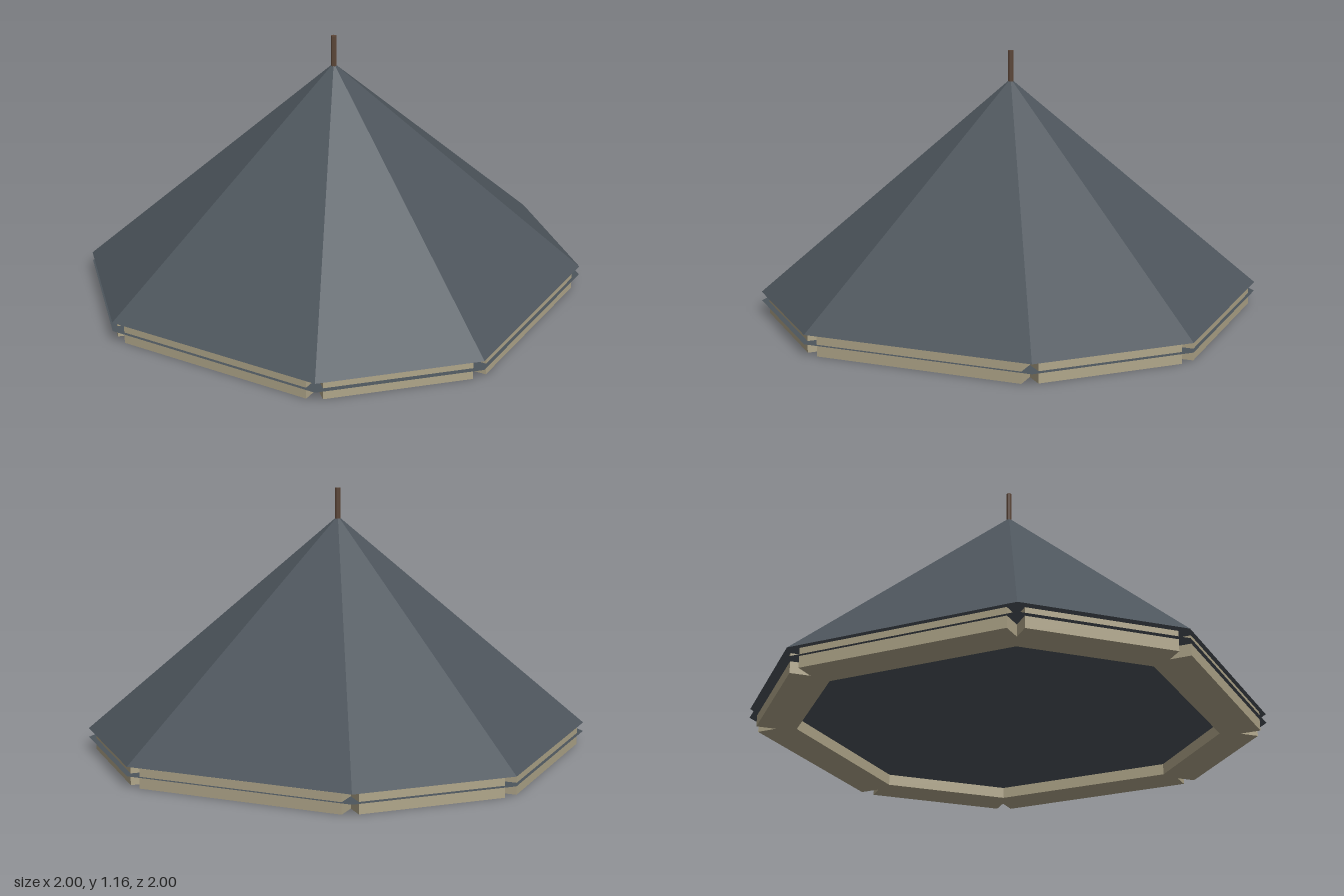
import * as THREE from 'three';

const SLATE = new THREE.MeshStandardMaterial({ color: 0x4d555c, flatShading: true, side: THREE.DoubleSide });
const TIMBER = new THREE.MeshStandardMaterial({ color: 0xb0a68a, flatShading: true });
const WOOD = new THREE.MeshStandardMaterial({ color: 0x5c4638, flatShading: true });

const EAVES_Y = 0.09, APEX_Y = 1.04, BEAM_H = 0.085, BEAM_D = 0.17;

// Eaves outline, counter-clockwise seen from above (x, z)
const EAVES = [[0.5, 1], [1, 0.5], [1, -0.5], [0.5, -1], [-0.5, -1], [-1, -0.5], [-1, 0.5], [-0.5, 1]];

function add(group, name, geometry, material) {
  const mesh = new THREE.Mesh(geometry, material);
  mesh.name = name;
  group.add(mesh);
  return mesh;
}

// Eight flat triangles rising from the eaves to the apex
function roofGeometry() {
  const points = [];
  EAVES.forEach(([x, z], i) => {
    const [nx, nz] = EAVES[(i + 1) % EAVES.length];
    points.push(x, EAVES_Y, z, nx, EAVES_Y, nz, 0, APEX_Y, 0);
  });
  const geometry = new THREE.BufferGeometry();
  geometry.setAttribute('position', new THREE.Float32BufferAttribute(points, 3));
  geometry.computeVertexNormals();
  return geometry;
}

// Thin octagonal sheet facing down
function sheetGeometry(y) {
  const shape = new THREE.Shape(EAVES.map(([x, z]) => new THREE.Vector2(x, z)));
  return new THREE.ShapeGeometry(shape).rotateX(Math.PI / 2).translate(0, y, 0);
}

export function createModel() {
  const model = new THREE.Group();
  model.name = 'pavilionRoof';

  add(model, 'roofSlopes', roofGeometry(), SLATE);
  add(model, 'soffit', sheetGeometry(EAVES_Y), SLATE);
  add(model, 'ceiling', sheetGeometry(0.05), SLATE);

  // Ring of eight beams: longer on the main sides, shorter on the diagonals
  const ring = new THREE.Group();
  ring.name = 'beamRing';
  model.add(ring);
  for (let i = 0; i < 8; i++) {
    const diagonal = i % 2 === 1;
    const length = diagonal ? 0.63 : 0.9;
    const outer = diagonal ? 1.036 : 0.985;
    const geometry = new THREE.BoxGeometry(length, BEAM_H, BEAM_D);
    geometry.translate(0, BEAM_H / 2, outer - BEAM_D / 2);
    add(ring, diagonal ? 'diagonalBeam' : 'sideBeam', geometry, TIMBER).rotation.y = i * Math.PI / 4;
  }

  // Short pole at the apex
  add(model, 'finialPole', new THREE.CylinderGeometry(0.013, 0.013, 0.165, 8), WOOD).position.y = 1.0825;

  return model;
}
